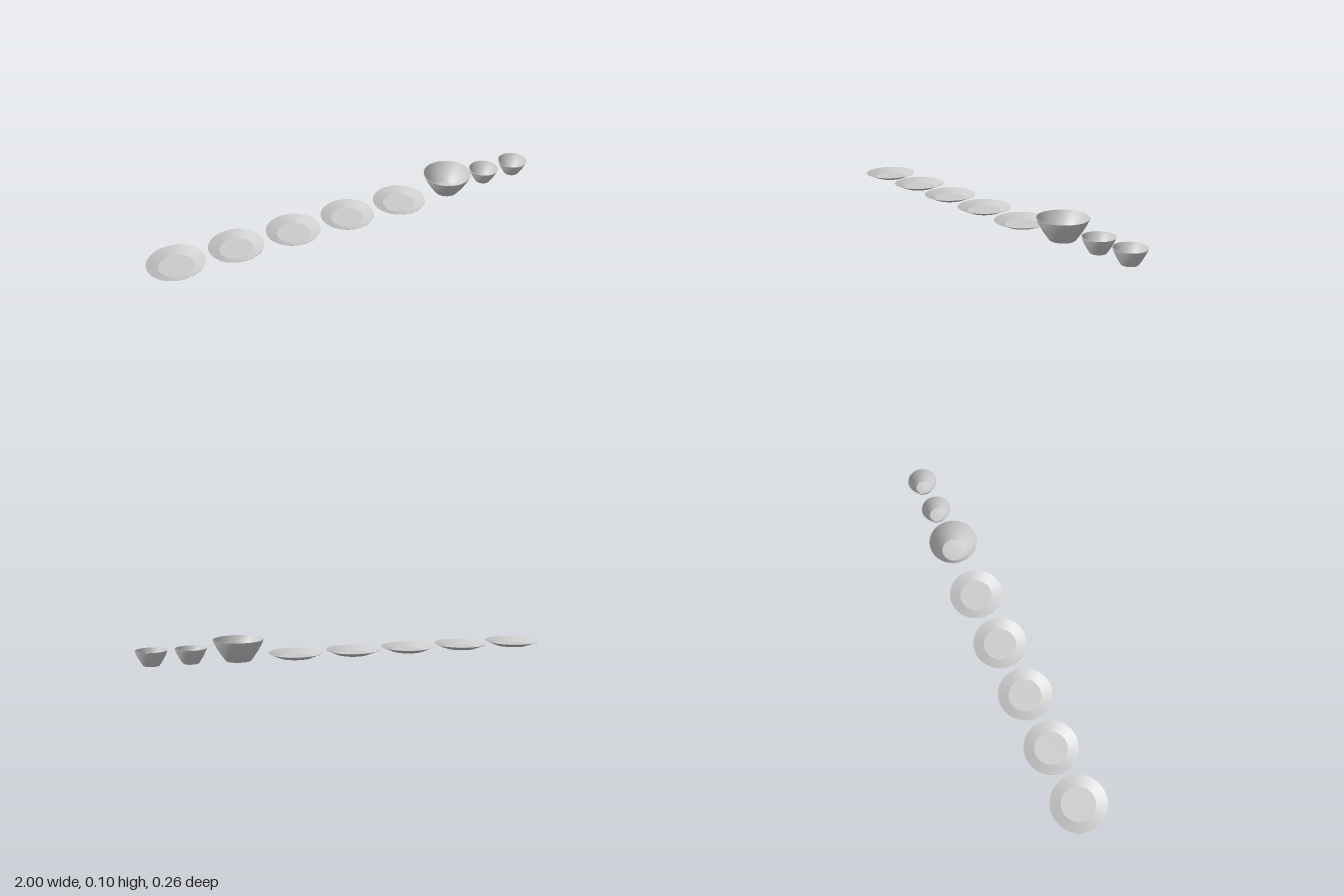
import * as THREE from 'three';

const material = new THREE.MeshStandardMaterial({ color: 0xcccccc, side: THREE.DoubleSide });

// Turns a closed wall profile; each smooth run is lathed separately so edges stay sharp
function turned(name, runs, x) {
  const group = new THREE.Group();
  group.name = name;
  for (const [part, points] of Object.entries(runs)) {
    const profile = points.map(([r, y]) => new THREE.Vector2(r, y));
    const mesh = new THREE.Mesh(new THREE.LatheGeometry(profile, 64), material);
    mesh.name = part;
    group.add(mesh);
  }
  group.position.x = x;
  return group;
}

// Shallow plate: flat well and straight sloping rim
function plate(name, radius, x) {
  const h = 0.022, well = radius * 0.61, t = 0.003;
  return turned(name, {
    base: [[0, 0], [well, 0]],
    rimUnderside: [[well, 0], [radius, h - 0.001]],
    rimEdge: [[radius, h - 0.001], [radius, h]],
    rimTop: [[radius, h], [well, t]],
    well: [[well, t], [0, t]],
  }, x);
}

// Deep bowl: flat foot, gently bulging wall, thin lip
function bowl(name, radius, foot, h, x) {
  const t = 0.003, steps = 12, outer = [], inner = [];
  for (let i = 0; i <= steps; i++) {
    const s = i / steps;
    const r = foot + (radius - foot) * (s + 0.32 * s * (1 - s));
    outer.push([r, h * s]);
    inner.unshift([r - t, t + (h - t) * s]);
  }
  return turned(name, {
    foot: [[0, 0], [foot, 0]],
    outerWall: outer,
    lip: [[radius, h], [radius - t, h]],
    innerWall: [...inner, [0, t]],
  }, x);
}

export function createModel() {
  const model = new THREE.Group();
  model.name = 'dinnerware';

  // Row of plates, the first slightly larger
  model.add(plate('largePlate', 0.132, -0.868));
  [-0.584, -0.302, -0.02, 0.262].forEach((x, i) => model.add(plate(`plate${i + 1}`, 0.128, x)));

  // Serving bowl and two small bowls
  model.add(bowl('servingBowl', 0.118, 0.058, 0.1, 0.533));
  [0.751, 0.927].forEach((x, i) => model.add(bowl(`smallBowl${i + 1}`, 0.073, 0.036, 0.07, x)));
  return model;
}
